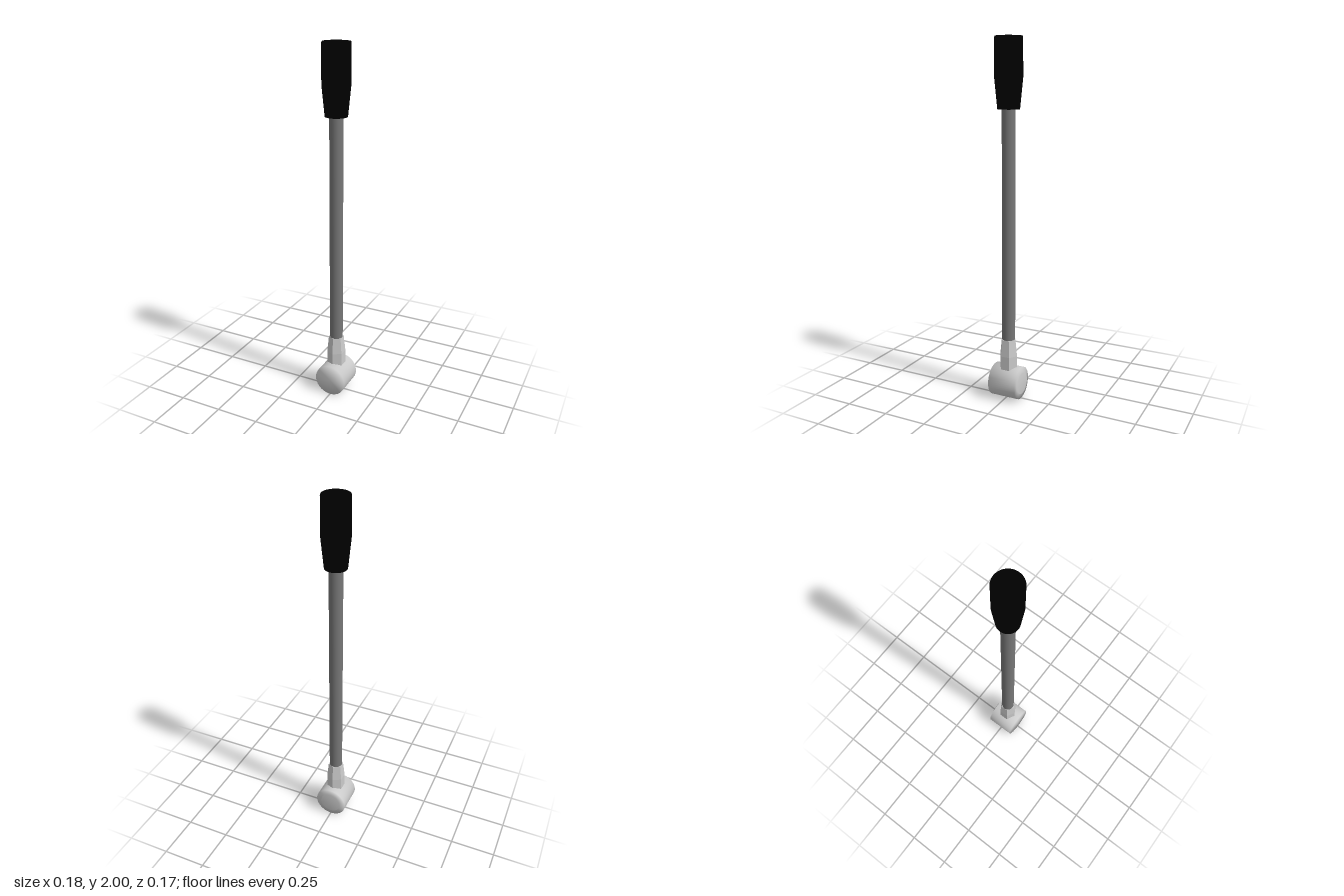
import * as THREE from 'three';

const grey = new THREE.MeshStandardMaterial({ color: 0xcccccc });
const facetedGrey = new THREE.MeshStandardMaterial({ color: 0xcccccc, flatShading: true });
const darkGrey = new THREE.MeshStandardMaterial({ color: 0x777777 });
const black = new THREE.MeshStandardMaterial({ color: 0x000000 });

// Closed turned shape, smooth over its edges, from [radius, height] pairs
const turned = (profile) =>
  new THREE.LatheGeometry(profile.map(([r, y]) => new THREE.Vector2(r, y)), 48);

export function createModel() {
  const lever = new THREE.Group();
  lever.name = 'lever';

  const add = (name, geometry, material, y) => {
    const mesh = new THREE.Mesh(geometry, material);
    mesh.name = name;
    mesh.position.y = y;
    lever.add(mesh);
  };

  // Pivot hub lying along z, with a shallow boss on its back
  const hub = turned([
    [0, -0.087], [0.061, -0.087], [0.061, -0.079],
    [0.092, -0.079], [0.092, 0.085], [0, 0.085],
  ]);
  hub.rotateX(Math.PI / 2);
  add('hub', hub, grey, 0.092);

  // Hexagonal socket: straight base, tapered neck, corners on the z axis
  add('socketBase', new THREE.CylinderGeometry(0.053, 0.053, 0.15, 6), facetedGrey, 0.175);
  add('socketNeck', new THREE.CylinderGeometry(0.043, 0.053, 0.096, 6), facetedGrey, 0.298);

  // Long round rod
  add('rod', new THREE.CylinderGeometry(0.037, 0.037, 1.34, 32), darkGrey, 0.99);

  // Grip: tapered lower part, nearly straight upper part, softened top edge
  const grip = turned([
    [0, 1.627], [0.06, 1.627], [0.076, 1.79], [0.075, 1.995], [0.073, 2], [0, 2],
  ]);
  add('grip', grip, black, 0);

  return lever;
}
